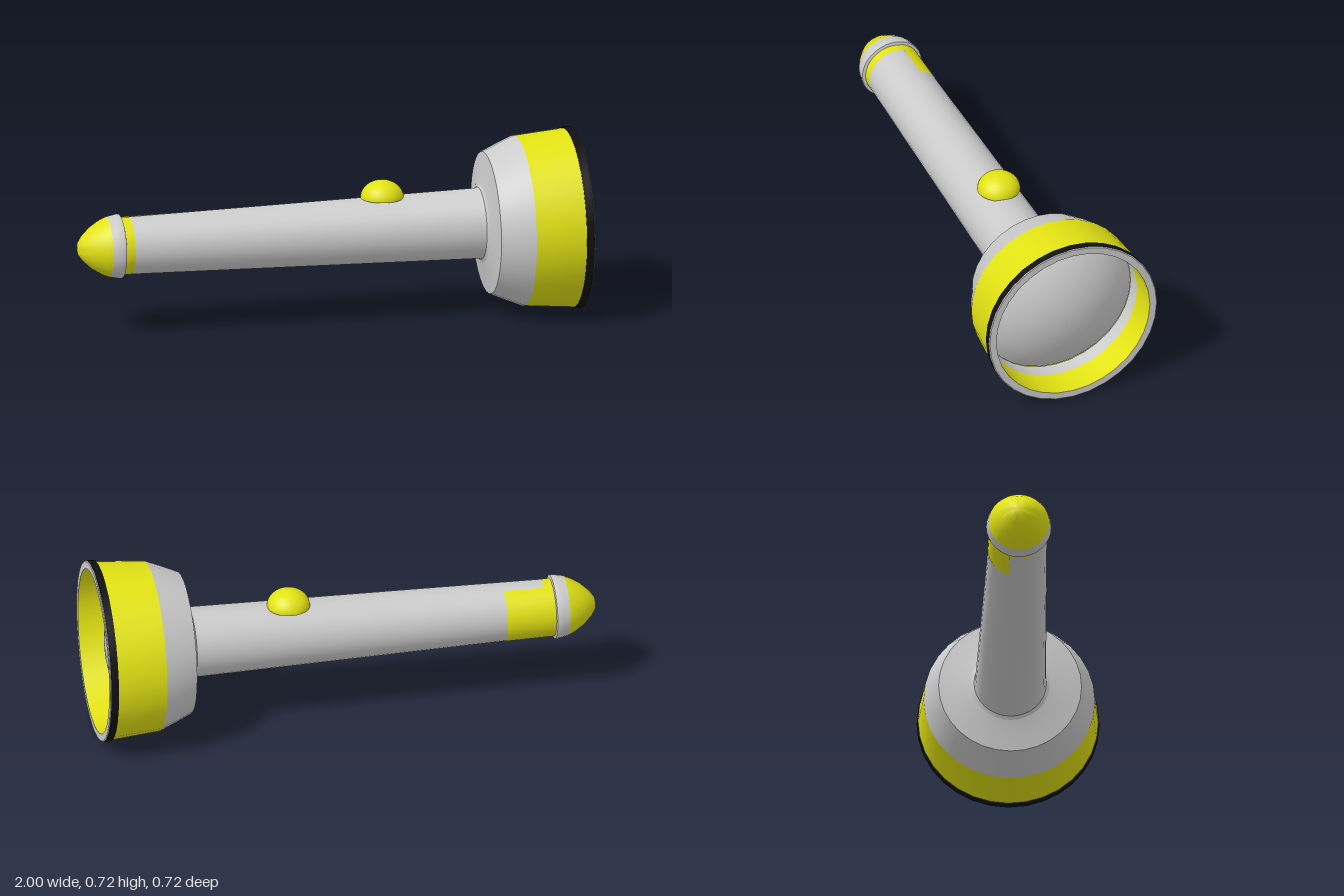
import * as THREE from 'three';
import { toCreasedNormals } from 'three/addons/utils/BufferGeometryUtils.js';

const SIDES = 32;
const AXIS_Y = 0.358;

const paint = (color) => new THREE.MeshStandardMaterial({ color, side: THREE.DoubleSide });

export function createModel() {
  const group = new THREE.Group();
  const grey = paint(0xcccccc);
  const yellow = paint(0xe2e214);
  const black = paint(0x101010);

  // Turned part lying along x, from [x, radius] pairs
  function turned(name, profile, material, start = 0, length = Math.PI * 2, sides = SIDES) {
    const points = profile.map(([x, r]) => new THREE.Vector2(r, x));
    const geometry = toCreasedNormals(new THREE.LatheGeometry(points, sides, start, length), 0.6);
    geometry.rotateZ(-Math.PI / 2);
    const mesh = new THREE.Mesh(geometry, material);
    mesh.name = name;
    mesh.position.y = AXIS_Y;
    group.add(mesh);
  }

  // Tail
  turned('tailCap', [[-1, 0], [-0.997, 0.025], [-0.98, 0.05], [-0.945, 0.083], [-0.905, 0.108], [-0.88, 0.119]], yellow);
  turned('tailCollar', [[-0.88, 0.119], [-0.86, 0.123], [-0.835, 0.128], [-0.828, 0.126], [-0.825, 0.114]], grey);
  turned('tailBand', [[-0.825, 0.114], [-0.79, 0.113]], yellow);

  // Handle and a coloured panel wrapped round its back
  turned('handle', [[-0.79, 0.113], [0.6, 0.139], [0.613, 0.142], [0.62, 0.155]], grey);
  turned('tailPanel', [[-0.825, 0.1155], [-0.63, 0.1175]], yellow, Math.PI - 1.27, 2.54, 16);

  // Head
  turned('headShoulder', [[0.62, 0.155], [0.628, 0.19], [0.64, 0.28], [0.7, 0.307], [0.77, 0.336]], grey);
  turned('headBand', [[0.77, 0.336], [0.967, 0.353]], yellow);
  turned('rimBand', [[0.967, 0.353], [0.967, 0.357], [0.997, 0.358]], black);
  turned('rimFace', [[0.997, 0.358], [1, 0.354], [1, 0.326]], grey);
  turned('innerWall', [[1, 0.326], [0.88, 0.322]], yellow);
  turned('innerSeat', [[0.88, 0.322], [0.82, 0.32]], grey);

  // Domed lens, a cap of a larger sphere
  const R = 0.455, centre = 0.495, edge = Math.asin(0.32 / R);
  const cap = [];
  for (let i = 0; i <= 10; i++) {
    const a = edge * (1 - i / 10);
    cap.push([centre + R * Math.cos(a), i === 10 ? 0 : R * Math.sin(a)]);
  }
  turned('lens', cap, grey);

  // Push button
  const button = new THREE.Mesh(new THREE.SphereGeometry(0.085, 32, 10, 0, Math.PI * 2, 0, Math.PI / 2), yellow);
  button.name = 'button';
  button.scale.y = 0.8;
  button.position.set(0.225, 0.487, -0.01);
  group.add(button);

  const base = new THREE.Mesh(new THREE.CircleGeometry(0.085, 32).rotateX(Math.PI / 2), yellow);
  base.name = 'buttonBase';
  base.position.copy(button.position);
  group.add(base);

  return group;
}
